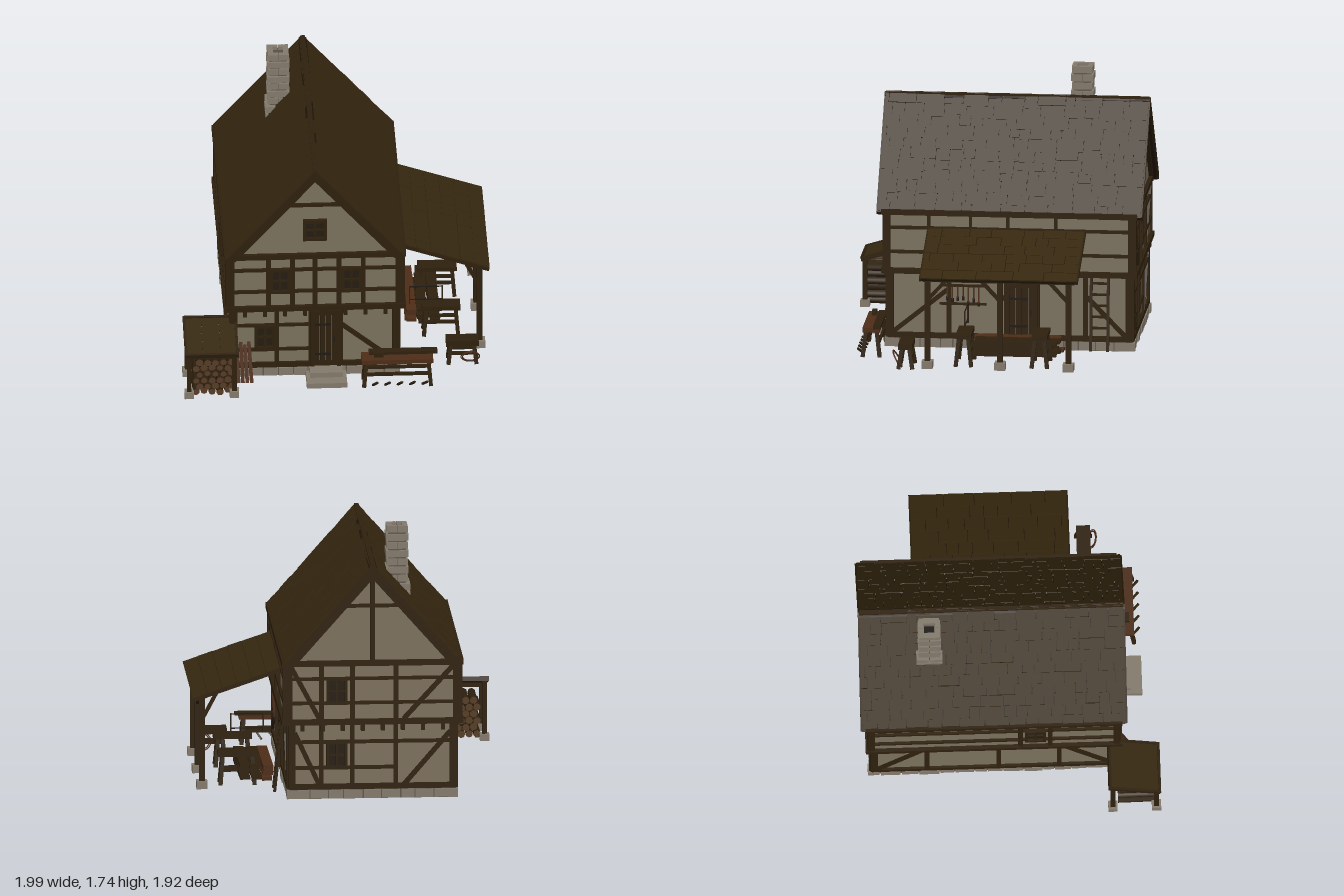
import * as THREE from 'three';

const mat = (name, color, side = THREE.FrontSide) => Object.assign(new THREE.MeshStandardMaterial({ color, side }), { name });

export function createModel() {
  const root = new THREE.Group();
  root.name = 'timberFramedHouse';
  const timber = mat('dark timber', 0x2e200d), shingle = mat('shingle', 0x35270f), gap = mat('shingle gap', 0x1f1508);
  const plaster = mat('plaster', 0x7a705d), stone = mat('stone', 0x82796b), mortar = mat('mortar', 0x5f574b);
  const plank = mat('red brown plank', 0x4c2c17), logEnd = mat('log end', 0x553b25), pane = mat('window pane', 0x241c11);
  const iron = mat('iron', 0x1c1815);

  let seed = 7;
  const rnd = () => (seed = (seed * 16807) % 2147483647) / 2147483647;
  const group = (name, parent = root, x = 0, y = 0, z = 0, ry = 0) => {
    const g = new THREE.Group();
    g.name = name; g.position.set(x, y, z); g.rotation.y = ry;
    parent.add(g);
    return g;
  };
  const add = (p, name, geo, m, x = 0, y = 0, z = 0) => {
    const o = new THREE.Mesh(geo, m);
    o.name = name; o.position.set(x, y, z);
    p.add(o);
    return o;
  };
  const box = (p, name, m, w, h, d, x, y, z) => add(p, name, new THREE.BoxGeometry(w, h, d), m, x, y, z);
  // Box running between two points
  const beam = (p, name, m, a, b, w, d = w) => {
    const A = new THREE.Vector3(...a), B = new THREE.Vector3(...b), dir = B.clone().sub(A);
    const o = box(p, name, m, w, dir.length(), d, ...A.add(B).multiplyScalar(0.5).toArray());
    o.quaternion.setFromUnitVectors(new THREE.Vector3(0, 1, 0), dir.normalize());
    return o;
  };

  const CX = -0.145, CZ = -0.11;
  // Wall bodies: ground floor, jettied upper floor, gable prism
  box(root, 'lowerWalls', plaster, 1.07, 0.45, 1.57, CX, 0.325, CZ);
  box(root, 'upperWalls', plaster, 1.12, 0.4, 1.6, CX, 0.75, CZ);
  const tri = new THREE.Shape([[-0.55, 0.94], [0.55, 0.94], [0, 1.567]].map(p => new THREE.Vector2(...p)));
  add(root, 'gableWalls', new THREE.ExtrudeGeometry(tri, { depth: 1.6, bevelEnabled: false }), plaster, CX, 0, CZ - 0.8);

  // Foundation ring with individual stones, and plank floor
  const base = group('foundation');
  for (const s of [-1, 1]) {
    box(base, 'footing', mortar, 1.08, 0.06, 0.09, CX, 0.075, CZ + s * 0.75);
    box(base, 'footing', mortar, 0.09, 0.06, 1.58, CX + s * 0.495, 0.075, CZ);
    for (const [len, alongX] of [[1.11, true], [1.62, false]]) {
      for (let t = -len / 2; t < len / 2 - 0.01;) {
        const w = Math.min(0.07 + rnd() * 0.07, len / 2 - t), o = t + w / 2, j = rnd() * 0.012;
        if (alongX) box(base, 'foundationStone', stone, w - 0.008, 0.055, 0.07, CX + o, 0.076, CZ + s * (0.765 + j));
        else box(base, 'foundationStone', stone, 0.07, 0.055, w - 0.008, CX + s * (0.51 + j), 0.076, CZ + o);
        t += w;
      }
    }
  }
  for (let i = 0; i < 14; i++) box(base, 'floorBoard', gap, 0.068, 0.02, 1.5, CX - 0.455 + i * 0.07, 0.095, CZ);

  // Faces: local x runs along the wall, local z points outwards
  const faces = {
    front: [CX, CZ + 0.785, 0, 0.535, 0.8 - 0.785], back: [CX, CZ - 0.785, Math.PI, 0.535, 0.015],
    right: [CX + 0.535, CZ, Math.PI / 2, 0.785, 0.025], left: [CX - 0.535, CZ, -Math.PI / 2, 0.785, 0.025],
  };
  const framing = {};
  for (const [n, [x, z, ry, half, jetty]] of Object.entries(faces)) {
    const lo = group(n + 'LowerFrame', root, x, 0, z, ry), up = group(n + 'UpperFrame', lo, 0, 0, jetty);
    framing[n] = { lo, up };
    const bar = (g, x1, y1, x2, y2, w = 0.03) => beam(g, 'timber', timber, [x1, y1, 0.006], [x2, y2, 0.006], w, 0.022);
    framing[n].bar = bar;
    bar(lo, -half, 0.125, half, 0.125, 0.035);
    bar(up, -half, 0.84, half, 0.84, 0.02);
    bar(up, -half, 0.68, half, 0.68, 0.02);
    for (const s of [-1, 1]) bar(lo, s * (half - 0.015), 0.11, s * (half - 0.015), 0.55, 0.045);
    for (const s of [-1, 1]) bar(up, s * (half + 0.005), 0.55, s * (half + 0.005), 0.95, 0.045);
    for (const y of [0.555, 0.942]) box(up, 'plate', timber, 2 * half + 0.08, 0.035, 0.045, 0, y, 0.003);
    // Joist ends below the upper floor
    if (n === 'front' || n === 'back')
      for (let i = 0; i < 8; i++) box(lo, 'joistEnd', timber, 0.025, 0.045, 0.045, -0.45 + i * 0.129, 0.518, 0.01);
  }
  const windowAt = (g, x, y, w = 0.115, h = 0.16) => {
    const win = group('window', g, x, y, 0);
    box(win, 'pane', pane, w, h, 0.008, 0, 0, 0.004);
    for (const s of [-1, 1]) {
      box(win, 'frame', timber, 0.02, h + 0.02, 0.034, s * w / 2, 0, 0.01);
      box(win, 'frame', timber, w + 0.02, 0.02, 0.034, 0, s * h / 2, 0.01);
    }
    box(win, 'mullion', timber, 0.014, h, 0.024, 0, 0, 0.008);
    box(win, 'glazingBar', timber, w, 0.012, 0.024, 0, 0, 0.008);
  };
  const doorAt = (g, x, w, h) => {
    const d = group('door', g, x, 0.12, 0);
    for (let i = 0; i < 4; i++) box(d, 'doorPlank', timber, w / 4 - 0.004, h, 0.016, (i - 1.5) * w / 4, h / 2, 0.008);
    for (const s of [-1, 1]) box(d, 'doorJamb', timber, 0.025, h + 0.02, 0.036, s * (w / 2 + 0.01), h / 2, 0.01);
    box(d, 'lintel', timber, w + 0.045, 0.03, 0.036, 0, h + 0.01, 0.01);
    for (const y of [0.08, h - 0.08]) box(d, 'hinge', iron, w * 0.7, 0.014, 0.006, -w * 0.12, y, 0.019);
    box(d, 'handle', iron, 0.01, 0.03, 0.012, w * 0.36, h / 2, 0.02);
  };

  // Front wall (x given relative to the wall centre)
  let { lo, up, bar } = framing.front;
  for (const x of [-0.245, -0.025, 0.165]) bar(lo, x, 0.12, x, 0.55);
  bar(lo, -0.53, 0.24, -0.245, 0.24, 0.022);
  bar(lo, -0.53, 0.42, -0.025, 0.42, 0.018);
  bar(lo, -0.245, 0.24, -0.025, 0.24, 0.018);
  bar(lo, 0.165, 0.42, 0.53, 0.12, 0.028);
  for (const x of [-0.3, -0.145, 0, 0.155, 0.31]) bar(up, x, 0.55, x, 0.95);
  windowAt(lo, -0.32, 0.335);
  windowAt(up, -0.225, 0.76);
  windowAt(up, 0.235, 0.76);
  windowAt(up, 0, 1.135, 0.135, 0.13);
  doorAt(lo, 0.07, 0.15, 0.38);

  // Back wall
  ({ lo, up, bar } = framing.back);
  for (const x of [-0.33, -0.13, 0.15]) { bar(lo, x, 0.12, x, 0.55); bar(up, x, 0.55, x, 0.95); }
  bar(lo, -0.53, 0.42, 0.53, 0.42, 0.022);
  bar(lo, -0.53, 0.25, 0.15, 0.25, 0.022);
  bar(lo, 0.5, 0.48, 0.2, 0.13);
  bar(lo, -0.5, 0.48, -0.34, 0.13);
  bar(up, 0.53, 0.93, 0.2, 0.57);
  bar(up, -0.53, 0.93, -0.34, 0.57);
  bar(up, 0, 0.95, 0, 1.55);
  windowAt(lo, -0.23, 0.335);
  windowAt(up, -0.23, 0.76);

  // Gable collars
  for (const f of [framing.front, framing.back]) f.bar(f.up, -0.2, 1.32, 0.2, 1.32, 0.022);

  // Right wall (local x is -z + CZ)
  ({ lo, up, bar } = framing.right);
  const rx = z => CZ - z;
  for (const z of [0.28, -0.09, -0.29, -0.6]) bar(lo, rx(z), 0.12, rx(z), 0.55);
  bar(lo, rx(0.66), 0.13, rx(0.29), 0.43, 0.028);
  bar(lo, rx(-0.87), 0.13, rx(-0.61), 0.4, 0.028);
  for (const z of [0.41, 0.14, -0.1, -0.41]) bar(up, rx(z), 0.55, rx(z), 0.95, 0.02);
  doorAt(lo, rx(-0.19), 0.16, 0.34);
  // Tool rack
  const rack = group('toolRack', lo, rx(0.19), 0, 0.02);
  for (const y of [0.46, 0.34]) box(rack, 'rackRail', timber, 0.3, 0.014, 0.02, 0, y, 0);
  for (let i = 0; i < 7; i++) {
    const h = 0.07 + rnd() * 0.05;
    box(rack, 'toolHandle', plank, 0.008, h, 0.01, -0.1 + i * 0.034, 0.455 - h / 2, 0.014);
    box(rack, 'toolHead', iron, 0.016, 0.025, 0.008, -0.1 + i * 0.034, 0.45 - h, 0.014);
  }

  // Left wall
  ({ lo, up, bar } = framing.left);
  for (const x of [-0.43, 0.03, 0.42]) bar(lo, x, 0.12, x, 0.55);
  bar(lo, -0.76, 0.13, -0.45, 0.48, 0.028);
  bar(lo, 0.76, 0.13, 0.44, 0.48, 0.028);
  for (const x of [0.17, 0.36]) bar(up, x, 0.55, x, 0.95);
  windowAt(up, 0.265, 0.76);

  // Roof slopes with staggered shingles
  const RUN = 0.575, RISE = 0.655, L = Math.hypot(RUN, RISE);
  const roof = group('roof', root, CX, 1.598, CZ);
  for (const turn of [0, Math.PI]) {
    const slope = group('roofSlope', group('roofSide', roof, 0, 0, 0, turn));
    roof.children[roof.children.length - 1].add(slope);
    slope.rotation.z = -Math.atan2(RISE, RUN);
    box(slope, 'roofDeck', gap, L, 0.03, 1.69, L / 2, -0.021, 0);
    const rows = 11, rh = L / rows;
    for (let r = 0; r < rows; r++)
      for (let z = -0.85; z < 0.845;) {
        const w = Math.min(0.06 + rnd() * 0.13, 0.85 - z), extra = rnd() * 0.03;
        box(slope, 'shingle', shingle, rh - 0.004 + (r < rows - 1 ? extra : 0), 0.012, w - 0.005,
          (r + 0.5) * rh + (r < rows - 1 ? extra / 2 : 0), -0.004 + rnd() * 0.005, z + w / 2);
        z += w;
      }
    for (const s of [-1, 1]) {
      box(slope, 'bargeBoard', timber, L, 0.034, 0.02, L / 2, -0.017, s * 0.848);
      box(slope, 'innerRafter', timber, L - 0.04, 0.026, 0.03, L / 2, -0.052, s * 0.812);
    }
    box(slope, 'eaveBoard', timber, 0.02, 0.036, 1.7, L - 0.006, -0.018, 0);
  }
  box(roof, 'ridgeCap', timber, 0.03, 0.014, 1.7, 0, -0.006, 0);

  // Chimney: hollow courses of alternating stones
  const chimney = group('chimney', root, -0.325, 0, -0.515);
  for (const s of [-1, 1]) {
    box(chimney, 'chimneyCore', mortar, 0.105, 0.5, 0.025, 0, 1.49, s * 0.045);
    box(chimney, 'chimneyCore', mortar, 0.025, 0.5, 0.105, s * 0.045, 1.49, 0);
  }
  box(chimney, 'flueFloor', iron, 0.08, 0.4, 0.08, 0, 1.5, 0);
  for (let i = 0; i < 9; i++) {
    const y = 1.74 - i * 0.054, k = i > 6 ? 0.016 : (i % 2) * 0.005;
    for (let q = 0; q < 4; q++) {
      const side = group('course', chimney, 0, y, 0, q * Math.PI / 2);
      if ((q + i) % 2) box(side, 'chimneyStone', stone, 0.134 + 2 * k, 0.042, 0.036, 0, 0, 0.05 + k);
      else for (const s of [-1, 1]) box(side, 'chimneyStone', stone, 0.03 + k, 0.042, 0.034, s * (0.017 + k / 2), 0, 0.051 + k);
    }
  }

  // Lean-to roof on braced posts
  const lean = group('leanTo');
  const deck = group('leanToRoof', lean, 0.425, 0.84, -0.093);
  deck.rotation.z = -Math.atan2(0.195, 0.57);
  box(deck, 'leanToDeck', gap, 0.6, 0.014, 1.0, 0.3, -0.012, 0);
  for (let r = 0; r < 6; r++)
    for (let z = -0.505; z < 0.5;) {
      const w = Math.min(0.08 + rnd() * 0.16, 0.505 - z);
      box(deck, 'leanToShingle', shingle, 0.098, 0.01, w - 0.004, r * 0.1 + 0.05, -0.004 + rnd() * 0.004, z + w / 2);
      z += w;
    }
  for (const s of [-1, 1]) box(deck, 'edgeBoard', timber, 0.6, 0.024, 0.014, 0.3, -0.012, s * 0.505);
  for (let i = 0; i < 5; i++) box(deck, 'rafter', timber, 0.57, 0.02, 0.02, 0.285, -0.028, -0.44 + i * 0.22);
  box(lean, 'leanToBeam', timber, 0.035, 0.035, 0.98, 0.93, 0.63, -0.09);
  for (const z of [0.37, -0.1, -0.54]) {
    box(lean, 'postFoot', stone, 0.07, 0.05, 0.07, 0.93, 0.065, z);
    box(lean, 'post', timber, 0.036, 0.56, 0.036, 0.93, 0.35, z);
    for (const s of [-1, 1]) if (Math.abs(z + s * 0.12 + 0.09) < 0.45)
      beam(lean, 'postBrace', timber, [0.93, 0.49, z], [0.93, 0.62, z + s * 0.12], 0.022);
    beam(lean, 'postBrace', timber, [0.93, 0.49, z], [0.83, 0.68, z], 0.022);
  }

  // Ladder against the right wall
  const ladder = group('ladder');
  for (const z of [-0.64, -0.75]) beam(ladder, 'ladderRail', timber, [0.475, 0.06, z], [0.425, 0.54, z], 0.018);
  for (let i = 0; i < 6; i++) box(ladder, 'rung', timber, 0.014, 0.014, 0.11, 0.466 - i * 0.0075, 0.14 + i * 0.072, -0.695);

  // Front steps
  box(root, 'lowerStep', stone, 0.26, 0.035, 0.17, -0.075, 0.06, 0.775);
  box(root, 'upperStep', stone, 0.21, 0.035, 0.1, -0.075, 0.095, 0.735);

  // Trestle-legged bench, sawhorses and stool
  const table = (name, x, z, w, d, top, m, thick = 0.03) => {
    const t = group(name, root, x, 0, z);
    box(t, 'top', m, w, thick, d, 0, top - thick / 2, 0);
    for (const sx of [-1, 1]) for (const sz of [-1, 1])
      beam(t, 'leg', timber, [sx * (w / 2 - 0.015), 0.02, sz * (d / 2)], [sx * (w / 2 - 0.03), top - thick, sz * (d / 2 - 0.02)], 0.025);
    for (const s of [-1, 1]) box(t, 'stretcher', timber, w - 0.05, 0.02, 0.016, 0, top * 0.5, s * (d / 2 - 0.01));
    return t;
  };
  const bench = table('workbench', 0.38, 0.765, 0.46, 0.11, 0.215, plank);
  box(bench, 'rearBoard', timber, 0.44, 0.02, 0.05, 0.04, 0.225, -0.04);
  box(bench, 'handPlane', timber, 0.06, 0.03, 0.03, -0.12, 0.235, 0.01);
  for (let i = 0; i < 5; i++) beam(bench, 'looseStick', timber, [-0.16 + i * 0.08, 0.03, 0.05], [-0.13 + i * 0.08, 0.07, 0.09], 0.012);
  for (const z of [0.15, -0.34]) table('sawhorse', 0.69, z, 0.25, 0.1, 0.235, timber);
  const stool = table('stool', 0.81, 0.515, 0.21, 0.09, 0.19, timber, 0.04);
  for (const r of [0.05, 0.06]) add(stool, 'ropeCoil', new THREE.TorusGeometry(r, 0.004, 5, 20), plank, 0.05, 0.08, 0.055).rotation.x = 0.5;

  // Frame saw standing on a sawhorse
  const saw = group('frameSaw', root, 0.595, 0, 0.15);
  for (const s of [-1, 1]) box(saw, 'sawSide', timber, 0.008, 0.13, 0.01, s * 0.105, 0.3, 0);
  for (const y of [0.265, 0.36]) box(saw, 'sawBlade', iron, 0.21, 0.006, 0.006, 0, y, 0);

  // Plank stack under the lean-to
  const stack = group('plankStack');
  for (let i = 0; i < 12; i++)
    box(stack, 'plank', i % 3 ? timber : plank, 0.065, 0.02, 0.5 + rnd() * 0.1, 0.5 + (i % 3) * 0.075, 0.075 + Math.floor(i / 3) * 0.025, -0.2 + rnd() * 0.06).rotation.y = (rnd() - 0.5) * 0.08;

  // Boards leaning by the front corner
  for (let i = 0; i < 4; i++)
    beam(root, 'leaningBoard', plank, [-0.64 + i * 0.028, 0.05, 0.78], [-0.65 + i * 0.026, 0.29 + rnd() * 0.03, 0.715], 0.023, 0.012);

  // Firewood shelter
  const shed = group('woodShelter');
  const cover = group('shelterRoof', shed, -0.82, 0.405, 0.785);
  cover.rotation.x = Math.atan2(0.1, 0.33);
  for (let i = 0; i < 3; i++) box(cover, 'roofBoard', shingle, 0.112, 0.014, 0.34, -0.113 + i * 0.113, 0, 0);
  for (const s of [-1, 1]) {
    box(cover, 'shelterTrim', timber, 0.345, 0.03, 0.016, 0, 0, s * 0.165);
    box(cover, 'shelterTrim', timber, 0.016, 0.03, 0.34, s * 0.165, 0, 0);
  }
  for (const [x, z, h] of [[-0.965, 0.925, 0.35], [-0.965, 0.645, 0.43], [-0.675, 0.925, 0.35]]) {
    box(shed, 'shelterFoot', stone, 0.06, 0.045, 0.06, x, 0.065, z);
    box(shed, 'shelterPost', timber, 0.03, h - 0.06, 0.03, x, h / 2 + 0.03, z);
  }
  box(shed, 'shelterBeam', timber, 0.32, 0.03, 0.025, -0.82, 0.345, 0.925);
  for (let r = 0; r < 6; r++)
    for (let c = 0; c < 5; c++) {
      const log = add(shed, 'log', new THREE.CylinderGeometry(0.02 + rnd() * 0.006, 0.025, 0.22 + rnd() * 0.04, 7),
        [timber, logEnd, logEnd], -0.92 + c * 0.051 + (r % 2) * 0.022, 0.075 + r * 0.044, 0.8 + (rnd() - 0.5) * 0.03);
      log.rotation.x = Math.PI / 2;
      log.rotation.y = rnd() * 3;
    }
  return root;
}
